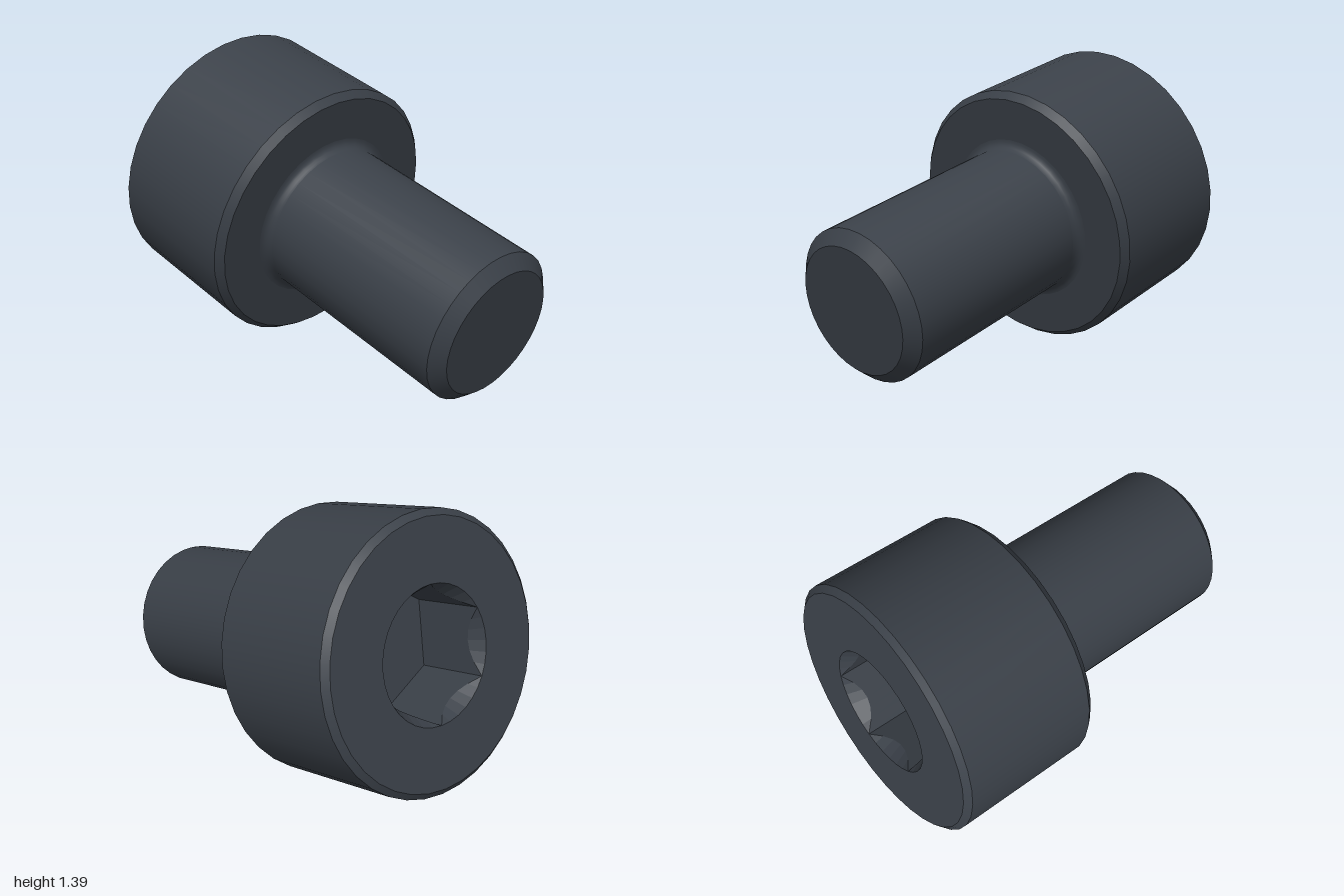
import * as THREE from 'three';

const SEGMENTS = 36;

export function createModel() {
  const steel = new THREE.MeshStandardMaterial({ color: 0x3a4048 });
  steel.name = 'dark steel';
  const screw = new THREE.Group();
  screw.name = 'capScrew';

  const add = (name, geometry) => {
    const mesh = new THREE.Mesh(geometry, steel);
    mesh.name = name;
    screw.add(mesh);
  };
  // One turned surface; separate surfaces keep the edges between them sharp
  const turn = (name, ...profile) =>
    add(name, new THREE.LatheGeometry(profile.map(([r, t]) => new THREE.Vector2(r, t)), SEGMENTS));

  // Sizes: radius, and position along the screw's axis
  const headR = 0.63, rimR = 0.6, shankR = 0.36, tipR = 0.3;
  const top = -0.85, under = -0.127, tip = 0.955;
  const fillet = 0.04;

  // Head
  turn('headTopChamfer', [rimR, top], [headR, top + 0.026]);
  turn('headSide', [headR, top + 0.026], [headR, under - 0.035]);
  turn('headLowerChamfer', [headR, under - 0.035], [rimR, under]);
  turn('headUnderside', [rimR, under], [shankR + fillet, under]);

  // Fillet under the head
  const arc = [];
  for (let i = 0; i <= 5; i++) {
    const a = (i / 5) * Math.PI / 2;
    arc.push([shankR + fillet - fillet * Math.sin(a), under + fillet - fillet * Math.cos(a)]);
  }
  turn('shankFillet', ...arc);

  // Shank
  turn('shank', [shankR, under + fillet], [shankR, tip - 0.055]);
  turn('tipChamfer', [shankR, tip - 0.055], [tipR, tip]);
  turn('tipFace', [tipR, tip], [0, tip]);

  // Top face with a countersunk hexagonal socket
  const apothem = 0.27, openR = apothem / Math.cos(Math.PI / 6), floor = top + 0.36;
  const hex = (a) => {
    const m = a % (Math.PI / 3);
    return apothem / Math.cos(m - Math.PI / 6);
  };
  const rows = [
    () => [rimR, top],
    () => [openR, top],
    (a) => [hex(a), top + (openR - hex(a)) * 1.7],
    (a) => [hex(a), floor],
    () => [0, floor],
  ];
  const names = ['headTopFace', 'socketCountersink', 'socketWalls', 'socketFloor'];
  const point = (row, i) => {
    const a = ((i % SEGMENTS) / SEGMENTS) * Math.PI * 2 + 1e-7;
    const [r, t] = row(a);
    return [r * Math.cos(a), t, r * Math.sin(a)];
  };
  names.forEach((name, k) => {
    const pos = [];
    for (let i = 0; i < SEGMENTS; i++) {
      const A = point(rows[k], i), B = point(rows[k], i + 1);
      const C = point(rows[k + 1], i), D = point(rows[k + 1], i + 1);
      pos.push(...A, ...B, ...C);
      if (k < 3) pos.push(...B, ...D, ...C);
    }
    const g = new THREE.BufferGeometry();
    g.setAttribute('position', new THREE.Float32BufferAttribute(pos, 3));
    g.computeVertexNormals();
    add(name, g);
  });

  // Tilt: local y runs from head to tip, local x points at a socket corner
  const axis = new THREE.Vector3(1, -0.265, 0.208).normalize();
  const corner = new THREE.Vector3(0, -1, -0.09).projectOnPlane(axis).normalize();
  const side = new THREE.Vector3().crossVectors(corner, axis);
  screw.quaternion.setFromRotationMatrix(new THREE.Matrix4().makeBasis(corner, axis, side));
  screw.position.set(0, 0.575, 0.096);

  const model = new THREE.Group();
  model.name = 'socketScrew';
  model.add(screw);
  return model;
}
